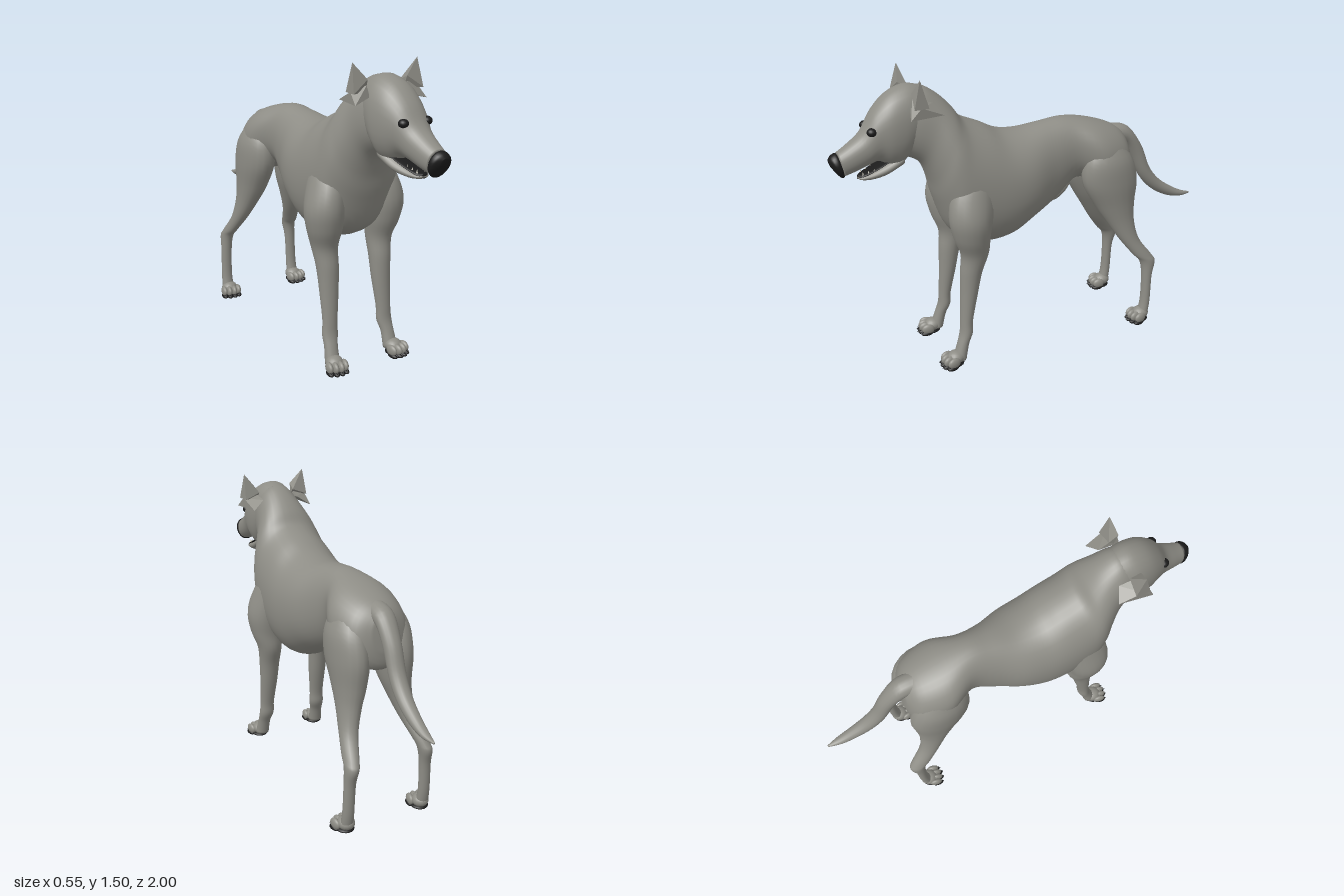
import * as THREE from 'three';
import { ConvexGeometry } from 'three/addons/geometries/ConvexGeometry.js';

const material = (name, color) => Object.assign(new THREE.MeshStandardMaterial({ color }), { name });

// Smooth skin through oval cross-sections: [x, halfWidth, topY, topZ, bottomY, bottomZ].
// The oval runs from a "top" to a "bottom" point, so sections may tilt along a bent path.
function loft(sections, { sides = 28, steps = 5, square = 1 } = {}) {
  const rings = [];
  const n = sections.length;
  const at = (i, k) => sections[Math.min(n - 1, Math.max(0, i))][k];
  for (let s = 0; s <= (n - 1) * steps; s++) {
    const i = Math.min(n - 2, Math.floor(s / steps));
    const t = s / steps - i;
    rings.push(sections[0].map((_, k) => {
      const [a, b, c, d] = [at(i - 1, k), at(i, k), at(i + 1, k), at(i + 2, k)];
      return b + 0.5 * t * (c - a + t * (2 * a - 5 * b + 4 * c - d + t * (3 * (b - c) + d - a)));
    }));
  }
  const pos = [], index = [];
  const bend = (v) => Math.sign(v) * Math.abs(v) ** square;
  rings.forEach(([x, w, ty, tz, by, bz], r) => {
    for (let j = 0; j < sides; j++) {
      const a = (j / sides) * Math.PI * 2;
      const c = bend(Math.cos(a)), v = bend(Math.sin(a));
      pos.push(x + w * c, (ty + by) / 2 + v * (ty - by) / 2, (tz + bz) / 2 + v * (tz - bz) / 2);
      if (r === 0) continue;
      const k = (j + 1) % sides, p = (r - 1) * sides, q = r * sides;
      index.push(p + j, p + k, q + j, p + k, q + k, q + j);
    }
  });
  // end caps
  for (const r of [0, rings.length - 1]) {
    const [x, , ty, tz, by, bz] = rings[r];
    const centre = pos.length / 3;
    pos.push(x, (ty + by) / 2, (tz + bz) / 2);
    for (let j = 0; j < sides; j++) {
      const a = r * sides + j, b = r * sides + (j + 1) % sides;
      index.push(centre, r ? a : b, r ? b : a);
    }
  }
  const g = new THREE.BufferGeometry();
  g.setAttribute('position', new THREE.Float32BufferAttribute(pos, 3));
  g.setIndex(index);
  g.computeVertexNormals();
  return g;
}

export function createModel() {
  const coat = material('coat grey', 0x8e8d86);
  const dark = material('nose and pad black', 0x1b1b1b);
  const ivory = material('tooth ivory', 0xd8d4c6);
  const model = new THREE.Group();
  model.name = 'dog';

  const add = (name, geometry, mat, parent = model) => {
    const mesh = new THREE.Mesh(geometry, mat);
    mesh.name = name;
    parent.add(mesh);
    return mesh;
  };
  const blob = (name, mat, [x, y, z], [rx, ry, rz], parent = model) => {
    const mesh = add(name, new THREE.SphereGeometry(1, 18, 12), mat, parent);
    mesh.position.set(x, y, z);
    mesh.scale.set(rx, ry, rz);
    return mesh;
  };

  // trunk from rump to shoulders, then up the neck
  add('trunkAndNeck', loft([
    [0, 0.06, 1.04, -0.55, 0.88, -0.57],
    [0, 0.15, 1.10, -0.48, 0.78, -0.545],
    [0, 0.185, 1.15, -0.34, 0.79, -0.40],
    [0, 0.13, 1.175, -0.20, 0.845, -0.26],
    [0, 0.148, 1.165, -0.08, 0.75, -0.13],
    [0, 0.195, 1.15, 0.05, 0.68, 0.0],
    [0, 0.215, 1.165, 0.16, 0.61, 0.13],
    [0, 0.22, 1.21, 0.25, 0.60, 0.27],
    [0, 0.215, 1.245, 0.33, 0.68, 0.43],
    [0, 0.2, 1.27, 0.37, 0.85, 0.50],
    [0, 0.172, 1.325, 0.41, 0.97, 0.53],
    [0, 0.138, 1.385, 0.47, 1.06, 0.57],
    [0, 0.118, 1.43, 0.54, 1.10, 0.63],
    [0, 0.105, 1.435, 0.60, 1.10, 0.66],
  ], { sides: 36, square: 0.94 }), coat);

  // skull and upper muzzle, turned slightly to the left
  add('head', loft([
    [0, 0.108, 1.432, 0.55, 1.12, 0.62],
    [0, 0.118, 1.445, 0.62, 1.07, 0.67],
    [0.005, 0.112, 1.415, 0.705, 1.075, 0.72],
    [0.01, 0.092, 1.345, 0.78, 1.105, 0.77],
    [0.016, 0.073, 1.255, 0.84, 1.095, 0.82],
    [0.02, 0.061, 1.205, 0.905, 1.075, 0.88],
    [0.023, 0.051, 1.172, 0.96, 1.06, 0.935],
  ], { square: 0.92 }), coat);
  add('nose', loft([
    [0.023, 0.047, 1.168, 0.955, 1.062, 0.93],
    [0.024, 0.053, 1.172, 0.968, 1.052, 0.942],
    [0.025, 0.046, 1.162, 0.988, 1.07, 0.962],
    [0.025, 0.018, 1.145, 1.0, 1.11, 0.99],
  ]), dark);

  // lower jaw with its dark lining and a few teeth
  const jaw = [
    [0.0, 0.08, 1.15, 0.66, 1.07, 0.66],
    [0.006, 0.07, 1.105, 0.73, 1.033, 0.74],
    [0.014, 0.052, 1.07, 0.80, 1.022, 0.81],
    [0.018, 0.036, 1.052, 0.85, 1.028, 0.86],
    [0.019, 0.012, 1.046, 0.87, 1.036, 0.872],
  ];
  add('lowerJaw', loft(jaw), coat);
  add('mouthLining', loft(jaw.map(([x, w, ty, tz, , bz]) => [x, w * 0.85, ty + 0.005, tz, ty - 0.015, bz])), dark);
  for (const side of [-1, 1]) {
    for (let i = 0; i < 3; i++) {
      const tooth = add('tooth', new THREE.ConeGeometry(0.005, 0.02, 6), ivory);
      tooth.position.set(0.018 + side * (0.022 + i * 0.006), 1.06 + i * 0.006, 0.85 - i * 0.025);
    }
  }

  // long curved tail
  add('tail', loft([
    [0.0, 0.055, 1.0, -0.47, 1.10, -0.47],
    [0.004, 0.052, 0.985, -0.55, 1.075, -0.575],
    [0.008, 0.045, 0.91, -0.60, 0.96, -0.665],
    [0.012, 0.042, 0.78, -0.665, 0.83, -0.72],
    [0.016, 0.038, 0.69, -0.745, 0.745, -0.785],
    [0.02, 0.031, 0.633, -0.845, 0.683, -0.87],
    [0.022, 0.022, 0.613, -0.93, 0.645, -0.94],
    [0.022, 0.005, 0.615, -1.0, 0.625, -1.0],
  ], { sides: 18 }), coat);

  // belly sheath
  const sheath = blob('sheath', coat, [0, 0.785, -0.185], [0.028, 0.034, 0.082]);
  sheath.rotation.x = 0.75;

  const frontLeg = [
    [0.125, 0.05, 1.06, 0.37, 1.06, 0.24],
    [0.15, 0.075, 0.93, 0.46, 0.93, 0.25],
    [0.168, 0.094, 0.81, 0.487, 0.79, 0.27],
    [0.166, 0.085, 0.70, 0.468, 0.69, 0.285],
    [0.157, 0.064, 0.60, 0.432, 0.60, 0.29],
    [0.152, 0.055, 0.50, 0.437, 0.50, 0.325],
    [0.152, 0.048, 0.38, 0.44, 0.38, 0.352],
    [0.157, 0.039, 0.24, 0.447, 0.24, 0.383],
    [0.16, 0.041, 0.17, 0.453, 0.17, 0.388],
    [0.167, 0.035, 0.11, 0.472, 0.11, 0.412],
    [0.172, 0.038, 0.03, 0.50, 0.03, 0.43],
  ];
  const hindLeg = [
    [0.09, 0.06, 1.06, -0.32, 1.05, -0.47],
    [0.112, 0.088, 0.95, -0.265, 0.95, -0.54],
    [0.118, 0.09, 0.83, -0.265, 0.83, -0.573],
    [0.124, 0.075, 0.70, -0.335, 0.70, -0.562],
    [0.14, 0.058, 0.60, -0.40, 0.60, -0.557],
    [0.165, 0.044, 0.50, -0.466, 0.49, -0.58],
    [0.193, 0.036, 0.41, -0.535, 0.39, -0.65],
    [0.203, 0.034, 0.36, -0.578, 0.35, -0.668],
    [0.21, 0.03, 0.27, -0.592, 0.27, -0.648],
    [0.214, 0.03, 0.12, -0.59, 0.12, -0.642],
    [0.214, 0.034, 0.03, -0.57, 0.03, -0.63],
  ];

  // paw: heel, four toes with claws, dark pads beneath
  const addPaw = (name, x, z, side) => {
    const paw = new THREE.Group();
    paw.name = name;
    paw.position.set(x, 0, z);
    paw.rotation.y = side * 0.15;
    model.add(paw);
    blob('instep', coat, [0, 0.046, -0.02], [0.043, 0.034, 0.046], paw);
    blob('solePad', dark, [0, 0.014, -0.01], [0.046, 0.014, 0.05], paw);
    [-0.04, -0.014, 0.014, 0.04].forEach((dx) => {
      const dz = 0.028 - Math.abs(dx) * 0.4;
      blob('toe', coat, [dx, 0.038, dz], [0.016, 0.028, 0.034], paw);
      blob('toePad', dark, [dx, 0.012, dz + 0.008], [0.016, 0.012, 0.032], paw);
      const claw = add('claw', new THREE.ConeGeometry(0.007, 0.03, 8), dark, paw);
      claw.position.set(dx, 0.022, dz + 0.034);
      claw.rotation.x = 2.0;
    });
  };

  const mirrored = (sections, side) => sections.map(([x, ...rest]) => [x * side, ...rest]);
  const hull = (points, side) => new ConvexGeometry(points.map(([x, y, z]) => new THREE.Vector3(x * side, y, z)));

  for (const side of [1, -1]) {
    const label = side > 0 ? 'left' : 'right';
    add(label + 'FrontLeg', loft(mirrored(frontLeg, side), { sides: 20 }), coat);
    add(label + 'HindLeg', loft(mirrored(hindLeg, side), { sides: 20 }), coat);
    addPaw(label + 'FrontPaw', side * 0.178, 0.505, side);
    addPaw(label + 'HindPaw', side * 0.215, -0.572, side);

    // eye set into the brow
    const eye = blob(label + 'Eye', dark, [0.014 + side * 0.062, 1.262, 0.803], [0.024, 0.02, 0.024]);
    eye.rotation.y = side * 0.6;

    // pricked ear with a lower fold
    add(label + 'Ear', hull([
      [0.172, 1.5, 0.6], [0.105, 1.425, 0.62], [0.185, 1.37, 0.635], [0.18, 1.37, 0.565], [0.1, 1.4, 0.57], [0.1, 1.37, 0.6],
    ], side), coat);
    add(label + 'EarFold', hull([
      [0.11, 1.4, 0.62], [0.19, 1.325, 0.655], [0.165, 1.325, 0.49], [0.1, 1.37, 0.52], [0.18, 1.375, 0.6], [0.1, 1.35, 0.63],
    ], side), coat);
  }
  return model;
}
